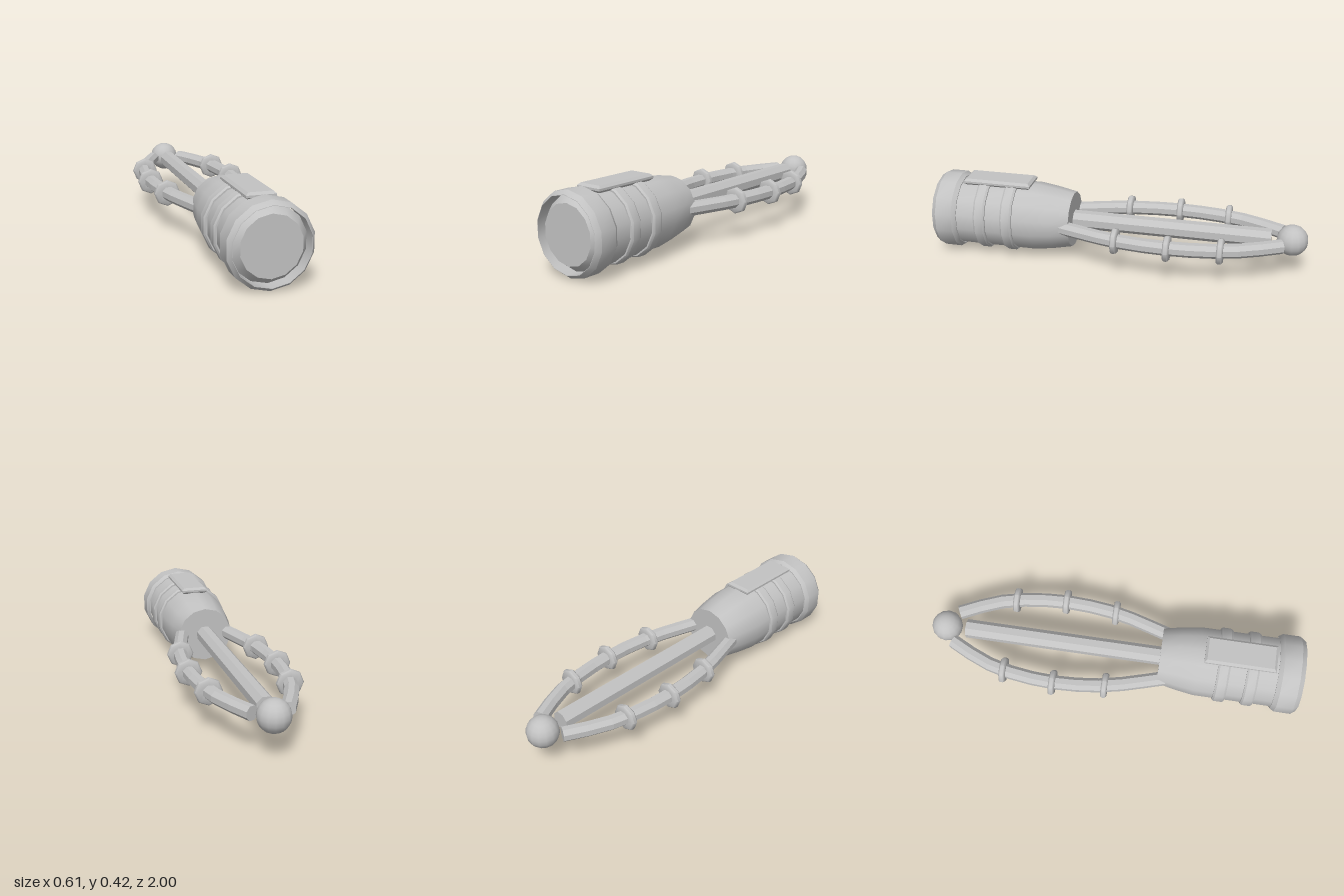
import * as THREE from 'three';
import { toCreasedNormals } from 'three/addons/utils/BufferGeometryUtils.js';

const AXIS = 0.21; // height of the long axis

export function createModel() {
  const model = new THREE.Group();
  model.name = 'handheldTool';
  const grey = new THREE.MeshStandardMaterial({ color: 0xc2c2c2 });
  grey.name = 'light grey';

  const add = (name, geometry, x = 0, y = AXIS, z = 0) => {
    const mesh = new THREE.Mesh(geometry, grey);
    mesh.name = name;
    mesh.position.set(x, y, z);
    model.add(mesh);
    return mesh;
  };

  // Turned part along z from [radius, z] pairs, listed back to front on the outside
  const turned = (profile, sides, crease) => {
    const points = profile.map(([r, z]) => new THREE.Vector2(r, z));
    const g = new THREE.LatheGeometry(points, sides).rotateX(Math.PI / 2);
    return toCreasedNormals(g, crease);
  };

  // Octagon with a flat facing outward
  const octagon = (radius) => new THREE.Shape(Array.from({ length: 8 }, (_, i) => {
    const a = (i + 0.5) * Math.PI / 4;
    return new THREE.Vector2(Math.cos(a) * radius, Math.sin(a) * radius);
  }));

  // Handle with tapered neck and bevelled front end
  add('handle', turned([
    [0, 0.25], [0.15, 0.25], [0.17, 0.35], [0.185, 0.45],
    [0.185, 0.94], [0.15, 0.988], [0, 0.988],
  ], 14, 0.5));

  // Collar around the front end
  add('endCollar', turned([
    [0.19, 0.863], [0.195, 0.863], [0.21, 0.885], [0.21, 0.975],
    [0.191, 1], [0.189, 1], [0.189, 0.863],
  ], 14, 0.5));

  // Two raised grip bands
  for (const z of [0.585, 0.735]) {
    add('gripBand', turned([
      [0.18, -0.032], [0.193, -0.032], [0.2, -0.022],
      [0.2, 0.022], [0.193, 0.032], [0.18, 0.032],
    ], 14, 0.5), 0, AXIS, z);
  }

  // Bevelled plate on top of the handle
  const w = 0.06, l = 0.173;
  const outline = new THREE.Shape([
    new THREE.Vector2(-w, -l), new THREE.Vector2(w, -l),
    new THREE.Vector2(w, l), new THREE.Vector2(-w, l),
  ]);
  const plate = new THREE.ExtrudeGeometry(outline, {
    depth: 0.011, bevelEnabled: true, bevelSegments: 1, bevelSize: 0.013, bevelThickness: 0.012,
  }).rotateX(-Math.PI / 2);
  add('topPlate', plate, 0, 0.397, 0.664);

  // Straight central rod
  const rod = new THREE.ExtrudeGeometry(octagon(0.05), { depth: 1.08, bevelEnabled: false });
  add('centreRod', rod, 0, AXIS, -0.81);

  // Bowed side rods, each with three rings
  for (const side of [1, -1]) {
    const path = new THREE.CatmullRomCurve3([
      [0.12, 0.3], [0.165, 0.15], [0.21, -0.02], [0.234, -0.3],
      [0.205, -0.57], [0.165, -0.7], [0.085, -0.867],
    ].map(([x, z]) => new THREE.Vector3(side * x, 0, z)));
    const bow = new THREE.ExtrudeGeometry(octagon(0.038), {
      steps: 10, bevelEnabled: false, extrudePath: path,
    });
    add(side > 0 ? 'leftRod' : 'rightRod', bow);

    for (const [x, z] of [[0.21, -0.02], [0.235, -0.297], [0.205, -0.567]]) {
      const ring = turned([
        [0.03, -0.016], [0.062, -0.016], [0.07, -0.008],
        [0.07, 0.008], [0.062, 0.016], [0.03, 0.016],
      ], 8, 0.85);
      // turn each ring so a corner points sideways
      add('rodRing', ring, side * x, AXIS, z);
    }
  }

  // Ball at the tip
  const ball = new THREE.SphereGeometry(0.082, 14, 10);
  add('tipBall', ball, 0, AXIS, -0.918);

  return model;
}
